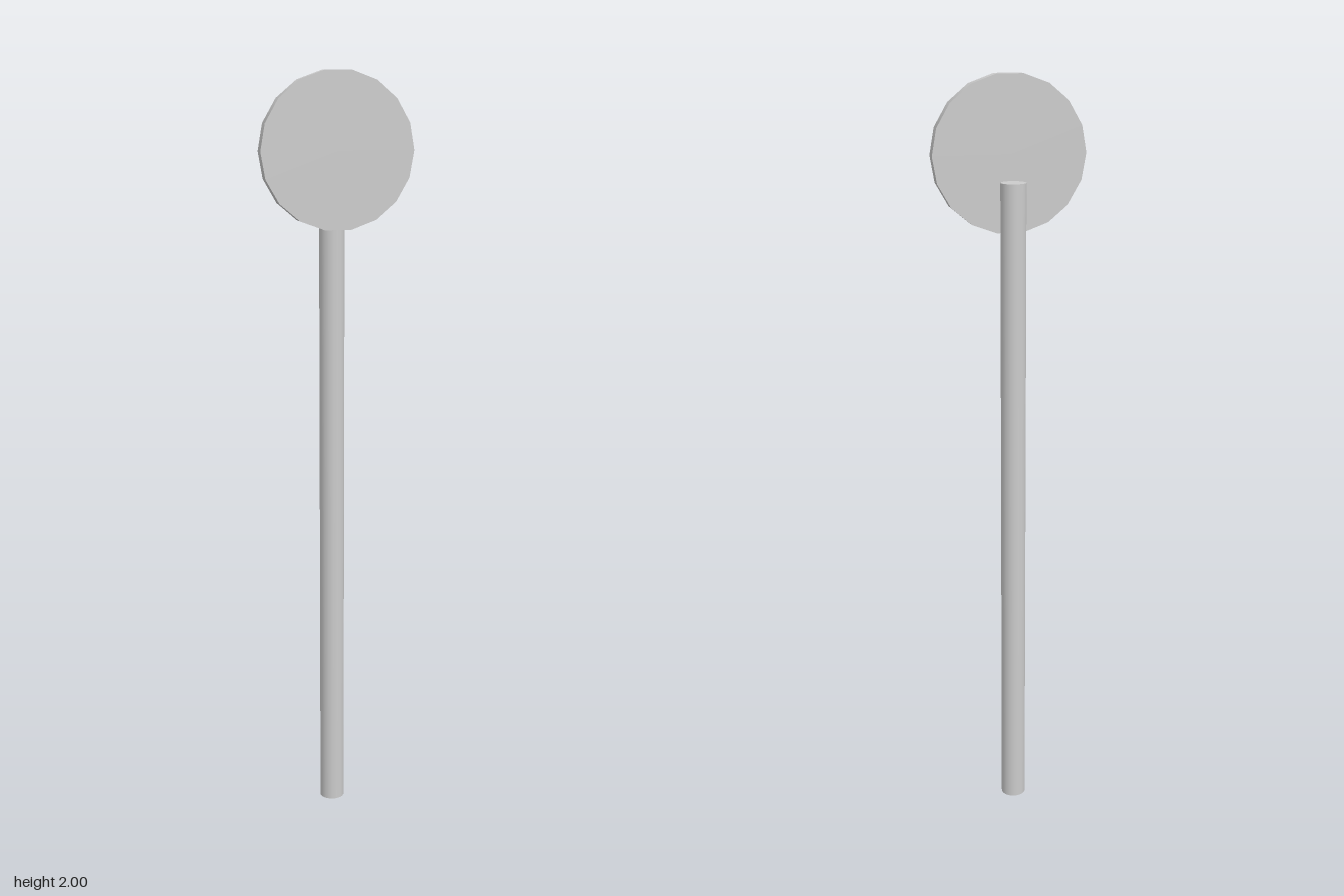
import * as THREE from 'three';

const SIDES = 18;

export function createModel() {
  const group = new THREE.Group();
  const material = new THREE.MeshStandardMaterial({ color: 0xcccccc });

  // Smooth-sided cylinder with corners on the x axis
  const cylinder = (name, radius, length) => {
    const geometry = new THREE.CylinderGeometry(radius, radius, length, SIDES, 1, false, Math.PI / 2);
    const mesh = new THREE.Mesh(geometry, material);
    mesh.name = name;
    group.add(mesh);
    return mesh;
  };

  // Upright pole, standing behind the disc
  const pole = cylinder('pole', 0.033, 1.737);
  pole.position.set(0, 1.737 / 2, -0.017);

  // Round sign plate facing forward, touching the front of the pole
  const disc = cylinder('signDisc', 0.2, 0.033);
  disc.rotation.x = Math.PI / 2;
  disc.position.set(0, 2 - 0.2 * Math.cos(Math.PI / SIDES), 0.033);

  return group;
}
